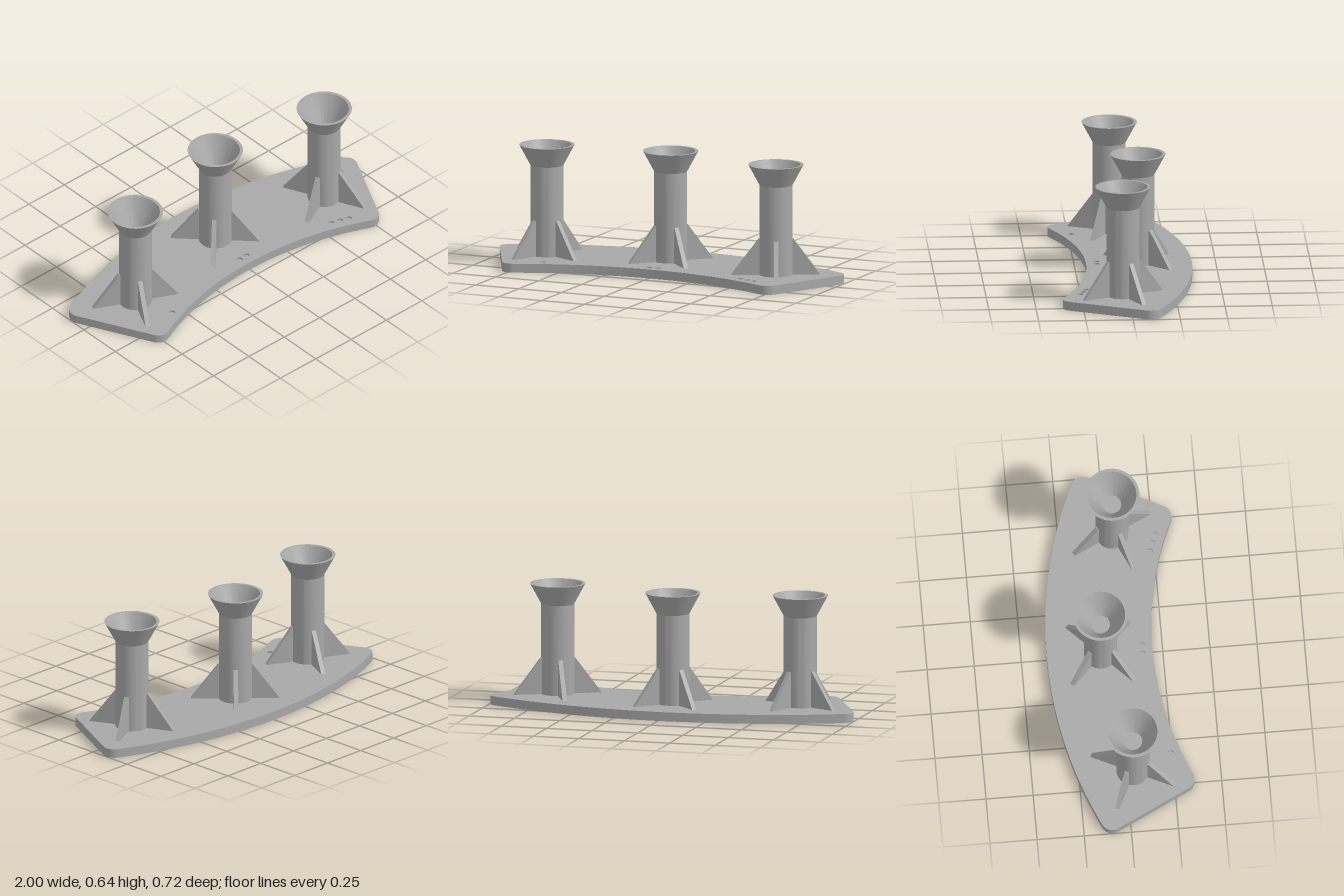
import * as THREE from 'three';
import { toCreasedNormals } from 'three/addons/utils/BufferGeometryUtils.js';

const grey = new THREE.MeshStandardMaterial({ color: 0xa8a8a8 });
grey.name = 'plain grey';

// The base is a sector of a ring centred far in front, at z = CENTRE_Z
const CENTRE_Z = 1.91, OUTER_R = 2.275, INNER_R = 1.715, POST_R = 1.99;
const HALF_ANGLE = THREE.MathUtils.degToRad(26.6);
const PITCH = THREE.MathUtils.degToRad(19.6);
const CORNER = 0.06;
const HEIGHT = 0.048, GROOVE = 0.032, DIMPLE_FLOOR = 0.038;

function part(name, geometry) {
  const mesh = new THREE.Mesh(toCreasedNormals(geometry, 0.4), grey);
  mesh.name = name;
  return mesh;
}

// Point on the ring, in outline coordinates (x, -z)
function onRing(radius, angle) {
  return [Math.sin(angle) * radius, Math.cos(angle) * radius - CENTRE_Z];
}

// Ring sector with rounded corners
function baseOutline() {
  const q = Math.PI / 2, a = HALF_ANGLE, ro = OUTER_R - CORNER, ri = INNER_R + CORNER;
  const fo = a - Math.asin(CORNER / ro), fi = a - Math.asin(CORNER / ri);
  const s = new THREE.Shape();
  s.absarc(0, -CENTRE_Z, OUTER_R, q - fo, q + fo, false);
  s.absarc(...onRing(ro, -fo), CORNER, q + fo, 2 * q + a, false);
  s.absarc(...onRing(ri, -fi), CORNER, 2 * q + a, 3 * q + fi, false);
  s.absarc(0, -CENTRE_Z, INNER_R, q + fi, q - fi, true);
  s.absarc(...onRing(ri, fi), CORNER, 3 * q - fi, 4 * q - a, false);
  s.absarc(...onRing(ro, fo), CORNER, -a, q - fo, false);
  return s;
}

// One horizontal slice of the base, with round holes [x, y, radius]
function baseLayer(name, bottom, top, holes) {
  const shape = baseOutline();
  for (const [x, y, r] of holes) {
    shape.holes.push(new THREE.Path().absarc(x, y, r, 0, Math.PI * 2, true));
  }
  const g = new THREE.ExtrudeGeometry(shape, { depth: top - bottom, bevelEnabled: false, curveSegments: 40 });
  g.rotateX(-Math.PI / 2);
  g.translate(0, bottom, 0);
  return part(name, g);
}

// Post with flared funnel top
function post() {
  const profile = [
    [0.0875, 0.04], [0.0875, 0.53], [0.1465, 0.64],
    [0.13, 0.64], [0.05, 0.49], [0, 0.49],
  ].map(([x, y]) => new THREE.Vector2(x, y));
  return part('post', new THREE.LatheGeometry(profile, 56));
}

// Triangular brace standing against the post
function brace(angle) {
  const t = 0.024;
  const shape = new THREE.Shape([
    [0.07, 0.04], [0.235, 0.04], [0.235, 0.048], [0.092, 0.24], [0.07, 0.24],
  ].map(([x, y]) => new THREE.Vector2(x, y)));
  const g = new THREE.ExtrudeGeometry(shape, { depth: t, bevelEnabled: false });
  g.translate(0, 0, -t / 2);
  g.rotateY(angle);
  return part('brace', g);
}

export function createModel() {
  const model = new THREE.Group();
  model.name = 'threePostStand';
  const stations = [-PITCH, 0, PITCH];

  // Base: grooved underside, solid web, dimpled top
  const grooves = stations.map(a => [...onRing(POST_R, a), 0.24]);
  const dimples = [];
  stations.forEach((a, i) => {
    for (let k = 0; k <= i; k++) {
      const offset = (k - i / 2) * 0.05 / 1.77;
      dimples.push([...onRing(1.77, a + offset), 0.017]);
    }
  });
  model.add(
    baseLayer('baseUnderside', 0, GROOVE, grooves),
    baseLayer('baseWeb', GROOVE, DIMPLE_FLOOR, []),
    baseLayer('baseTop', DIMPLE_FLOOR, HEIGHT, dimples),
  );

  // Three posts, each with four braces and a boss inside the groove below
  for (const a of stations) {
    const station = new THREE.Group();
    station.name = 'postStation';
    const [x, y] = onRing(POST_R, a);
    station.position.set(x, 0, -y);
    station.rotation.y = -a;
    station.add(post());
    for (let i = 0; i < 4; i++) station.add(brace(Math.PI / 4 + i * Math.PI / 2));
    const boss = new THREE.CylinderGeometry(0.104, 0.104, 0.036, 56);
    boss.translate(0, 0.018, 0);
    station.add(part('boss', boss));
    model.add(station);
  }
  return model;
}
